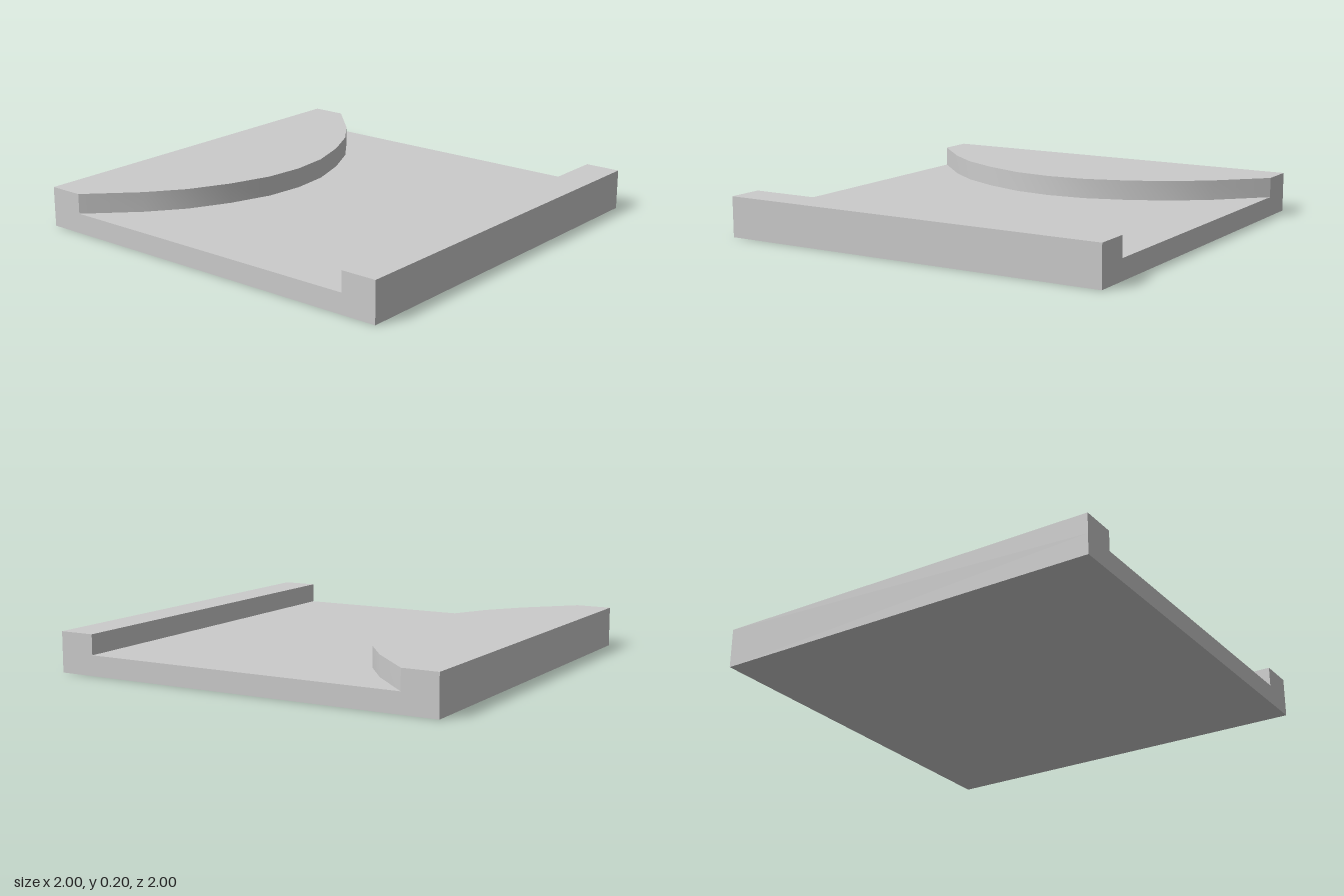
import * as THREE from 'three';
import { toCreasedNormals } from 'three/addons/utils/BufferGeometryUtils.js';

const BED = 0.1; // height of the low floor
const TOP = 0.2; // height of the raised parts

export function createModel() {
  const group = new THREE.Group();
  const material = new THREE.MeshStandardMaterial({ color: 0xcccccc });

  const add = (name, geometry) => {
    const mesh = new THREE.Mesh(geometry, material);
    mesh.name = name;
    group.add(mesh);
  };

  // Square floor slab
  add('floor', new THREE.BoxGeometry(2, BED, 2).translate(0, BED / 2, 0));

  // Straight raised edge along the left side
  const edgeX = 0.82;
  add('straightEdge', new THREE.BoxGeometry(1 - edgeX, TOP - BED, 2)
    .translate((1 + edgeX) / 2, (BED + TOP) / 2, 0));

  // Bank on the right side, bulging inward; half its outline is mirrored in z
  const half = [[-0.82, 1], [-0.6, 0.78], [-0.47, 0.61], [-0.37, 0.41], [-0.3, 0.2]];
  const mirrored = half.map(([x, z]) => [x, -z]).reverse();
  const outline = [[-1, 1], ...half, [-0.28, 0], ...mirrored, [-1, -1]];
  const shape = new THREE.Shape(outline.map(([x, z]) => new THREE.Vector2(x, -z)));
  const bank = new THREE.ExtrudeGeometry(shape, { depth: TOP - BED, bevelEnabled: false })
    .rotateX(-Math.PI / 2)
    .translate(0, BED, 0);
  add('curvedBank', toCreasedNormals(bank, 0.5));

  return group;
}
